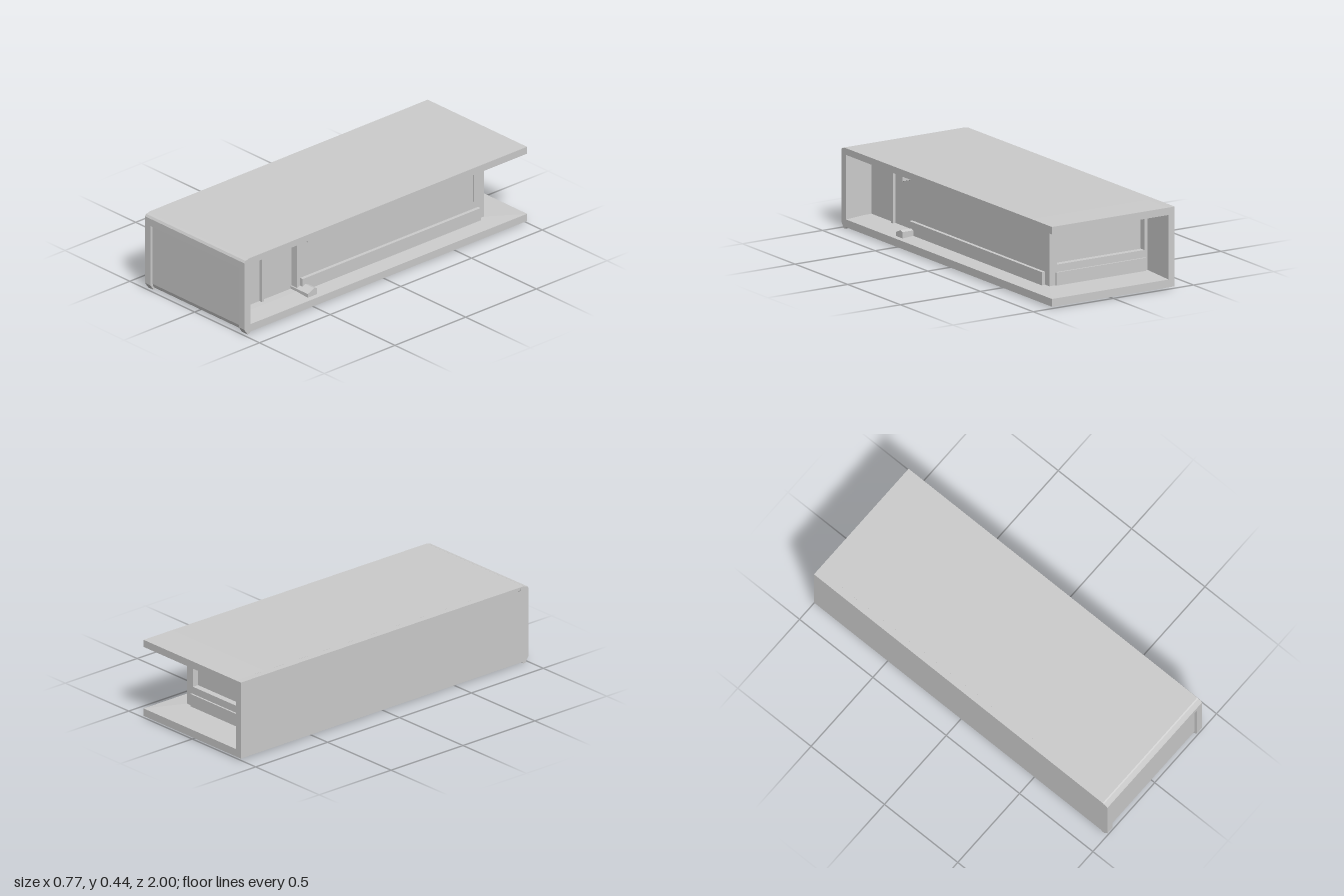
import * as THREE from 'three';

const W = 0.383, IN = -0.345, CORE = 0.268;

export function createModel() {
  const group = new THREE.Group();
  const mat = new THREE.MeshStandardMaterial({ color: 0xcccccc, flatShading: true });
  const add = (name, geo) => {
    const mesh = new THREE.Mesh(geo, mat);
    mesh.name = name;
    group.add(mesh);
    return mesh;
  };
  // Box given by its limits on each axis
  const box = (name, x0, x1, y0, y1, z0, z1) => {
    const g = new THREE.BoxGeometry(x1 - x0, y1 - y0, z1 - z0);
    g.translate((x0 + x1) / 2, (y0 + y1) / 2, (z0 + z1) / 2);
    return add(name, g);
  };
  const rect = (a0, a1, b0, b1) => [[a0, b0], [a1, b0], [a1, b1], [a0, b1]];
  const extrude = (pts, holes, depth) => {
    const v = (list) => list.map(([a, b]) => new THREE.Vector2(a, b));
    const shape = new THREE.Shape(v(pts));
    for (const h of holes) shape.holes.push(new THREE.Path(v(h)));
    return new THREE.ExtrudeGeometry(shape, { depth, bevelEnabled: false });
  };
  // Outline in (z, y), extruded along x from x0 to x1
  const slab = (name, pts, x0, x1, holes = []) => {
    const flip = (l) => l.map(([z, y]) => [-z, y]);
    const g = extrude(flip(pts), holes.map(flip), x1 - x0);
    g.rotateY(Math.PI / 2).translate(x0, 0, 0);
    return add(name, g);
  };

  // Top and bottom plates: inner face thins towards the open side and back
  const plate = (name, outer, outerFront, inner, edge) => {
    const g = new THREE.BoxGeometry(2, 2, 2, 2, 1, 2);
    const p = g.attributes.position;
    const xs = [IN, CORE, W], zs = [-1, -0.8, 0.96];
    for (let i = 0; i < p.count; i++) {
      const ix = Math.round(p.getX(i)) + 1, iz = Math.round(p.getZ(i)) + 1;
      const isOuter = (p.getY(i) > 0) === (outer > inner);
      const y = isOuter ? (iz === 2 ? outerFront : outer) : (ix === 2 || iz === 0 ? edge : inner);
      p.setXYZ(i, xs[ix], y, zs[iz]);
    }
    g.computeVertexNormals();
    add(name, g);
  };
  plate('topPlate', 0.44, 0.436, 0.39, 0.40);
  plate('bottomPlate', 0.01, 0.01, 0.06, 0.052);

  // Closed side wall with a long window, a small slot and a shallow top groove
  slab('sideWall', [[-1, 0.01], [0.96, 0.01], [0.96, 0.436], [-1, 0.44]], -W, -0.353, [
    rect(-0.24, 0.67, 0.13, 0.285),
    rect(0.75, 0.9, 0.185, 0.212),
    rect(-0.92, 0.95, 0.415, 0.428),
  ]);
  slab('sideWallLining', [[-1, 0.01], [0.96, 0.01], [0.96, 0.436], [-1, 0.44]], -0.353, IN);
  box('grooveFloor', -0.36, -0.373, 0.413, 0.43, -0.93, 0.955).geometry =
    new THREE.BoxGeometry(0.017, 0.017, 1.885).translate(-0.3635, 0.4215, 0.0125);

  // Front: two posts with feet, a header and the recessed panel
  for (const s of [-1, 1]) {
    slab('frontPost', [[0.955, 0.01], [0.965, 0], [0.978, 0], [1, 0.033], [1, 0.418], [0.955, 0.418]],
      s < 0 ? -W : 0.341, s < 0 ? -0.341 : W);
  }
  slab('frontHeader', [[0.955, 0.377], [1, 0.377], [1, 0.418], [0.955, 0.418]], -0.341, 0.341);
  slab('frontTopEdge', [[0.955, 0.418], [1, 0.418], [0.992, 0.43], [0.975, 0.432], [0.968, 0.436], [0.955, 0.436]], -W, W);
  slab('frontPanel', [[0.955, 0.01], [0.97, 0.01], [0.979, 0.018], [0.984, 0.036], [0.985, 0.378], [0.955, 0.378]],
    -0.342, 0.342);

  // Inner core, seen through the open side and back
  box('core', IN, 0.223, 0.04, 0.41, -0.765, 0.955);
  slab('coreSideFrame', rect(-0.765, 0.52, 0.04, 0.41), 0.223, CORE, [rect(-0.73, 0.465, 0.17, 0.36)]);
  const back = extrude(rect(IN, CORE, 0.04, 0.41), [rect(-0.325, 0.22, 0.17, 0.36)], 0.035);
  add('coreBackFrame', back.translate(0, 0, -0.8));
  box('sideRail', CORE - 0.01, CORE + 0.02, 0.05, 0.13, -0.76, 0.5);
  box('backRail', -0.33, 0.23, 0.05, 0.13, -0.81, -0.79);

  // Front compartment rib and the lips that close it off
  box('compartmentRib', 0.22, 0.24, 0.05, 0.40, 0.728, 0.745);
  for (const top of [false, true]) {
    const lip = [[0.525, 0.05], [0.525, 0.075], [0.48, 0.095], [0.46, 0.088], [0.46, 0.05]];
    slab('compartmentLip', lip.map(([z, y]) => [z, top ? 0.45 - y : y]), 0.22, 0.355);
  }

  return group;
}
